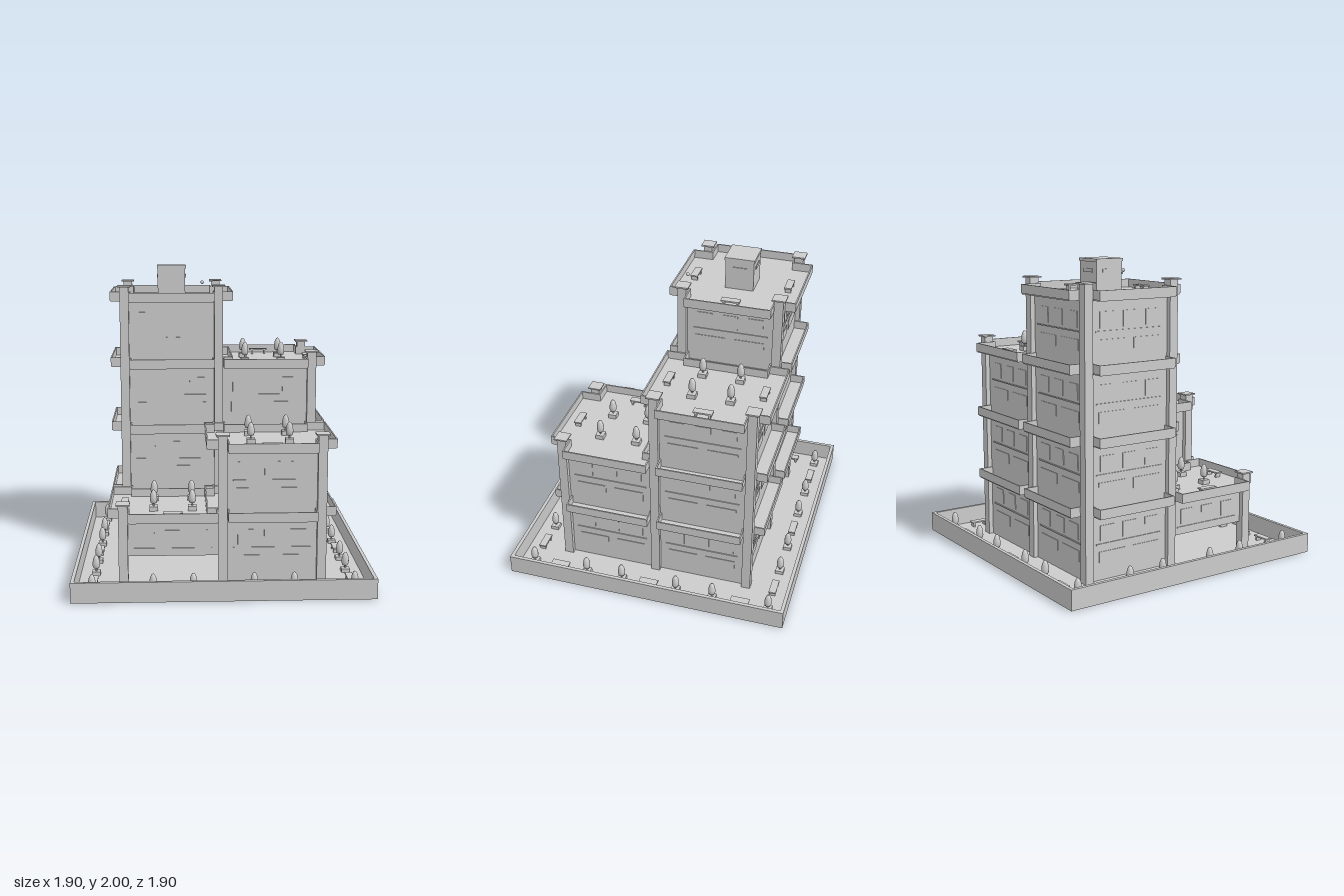
import * as THREE from 'three';

const GREY = new THREE.MeshStandardMaterial({ color: 0xcccccc, flatShading: true });
const SMOOTH = new THREE.MeshStandardMaterial({ color: 0xcccccc });
const CELL = 0.317;      // offset of each block centre
const STOREY = 0.445;    // floor to floor height

function add(parent, name, geometry, x, y, z, material = GREY) {
  const mesh = new THREE.Mesh(geometry, material);
  mesh.name = name;
  mesh.position.set(x, y, z);
  parent.add(mesh);
  return mesh;
}

// box standing on height y
function box(parent, name, w, h, d, x, y, z) {
  return add(parent, name, new THREE.BoxGeometry(w, h, d), x, y + h / 2, z);
}

function group(parent, name, x = 0, y = 0, z = 0) {
  const g = new THREE.Group();
  g.name = name;
  g.position.set(x, y, z);
  parent.add(g);
  return g;
}

// plus-shaped outline: a = half width of an arm, b = half length
function plus(a, b) {
  return [[a, b], [-a, b], [-a, a], [-b, a], [-b, -a], [-a, -a],
    [-a, -b], [a, -b], [a, -a], [b, -a], [b, a], [a, a]].map(p => new THREE.Vector2(...p));
}

function extrudeUp(points, hole, height) {
  const shape = new THREE.Shape(points);
  if (hole) shape.holes.push(new THREE.Path(hole));
  return new THREE.ExtrudeGeometry(shape, { depth: height, bevelEnabled: false }).rotateX(-Math.PI / 2);
}

const parapetGeo = extrudeUp(plus(0.285, 0.417), plus(0.276, 0.408), 0.065);
const deckGeo = extrudeUp(plus(0.28, 0.412), null, 0.01);
const foliageGeo = new THREE.LatheGeometry(
  [[0, 0], [0.018, 0.003], [0.024, 0.018], [0.024, 0.04], [0.019, 0.068], [0.01, 0.086], [0, 0.092]]
    .map(p => new THREE.Vector2(...p)), 12);

function tree(parent, x, y, z) {
  const t = group(parent, 'tree', x, y, z);
  box(t, 'planter', 0.055, 0.03, 0.055, 0, 0, 0);
  add(t, 'trunk', new THREE.CylinderGeometry(0.006, 0.006, 0.03, 8), 0, 0.04, 0);
  add(t, 'foliage', foliageGeo, 0, 0.047, 0, SMOOTH);
}

function bench(parent, x, y, z, turned) {
  const b = group(parent, 'bench', x, y, z);
  box(b, 'benchSeat', 0.125, 0.01, 0.048, 0, 0.028, 0);
  for (const s of [-1, 1]) box(b, 'benchLeg', 0.012, 0.028, 0.04, s * 0.045, 0, 0);
  if (turned) b.rotation.y = Math.PI / 2;
}

// one block of stacked storeys; bottom > 0 leaves it raised on columns
function block(parent, name, sx, sz, storeys, bottom) {
  const g = group(parent, name, sx * CELL, 0, sz * CELL);
  for (let k = 0; k < storeys; k++) {
    const top = (k + 1) * STOREY - 0.01;
    const low = k === 0 ? bottom : k * STOREY;
    box(g, 'storeyWalls', 0.634, top - low, 0.634, 0, low, 0);
    add(g, 'deck', deckGeo, 0, top, 0);
    add(g, 'parapet', parapetGeo, 0, top + 0.01 - 0.003, 0).scale.y = 0.058 / 0.065;
    for (let side = 0; side < 4; side++) {
      const face = group(g, 'facade');
      face.rotation.y = side * Math.PI / 2;
      for (const i of [-1, 0, 1]) {
        box(face, 'window', 0.1, 0.1, 0.008, i * 0.17, top - 0.17, 0.317);
      }
      if (low < top - 0.3) {
        for (const i of [-1, 1]) box(face, 'wallPanel', 0.2, 0.07, 0.008, i * 0.13, top - 0.31, 0.317);
      }
      box(face, 'windowSill', 0.5, 0.008, 0.012, 0, top - 0.195, 0.317);
    }
  }
  return storeys * STOREY; // roof height
}

export function createModel() {
  const model = new THREE.Group();
  model.name = 'terracedTowers';

  // walled ground plate
  const base = group(model, 'base');
  const square = r => [[r, r], [-r, r], [-r, -r], [r, -r]].map(p => new THREE.Vector2(...p));
  box(base, 'groundFloor', 1.88, 0.01, 1.88, 0, 0, 0);
  add(base, 'boundaryWall', extrudeUp(square(0.95), square(0.927), 0.13), 0, 0, 0);

  // four blocks stepping down around the centre
  const blocks = [
    ['tallBlock', -1, -1, 4, 0], ['upperBlock', 1, -1, 3, 0],
    ['middleBlock', 1, 1, 2, 0], ['raisedLowBlock', -1, 1, 1, 0.195],
  ];
  const roof = {};
  for (const [name, sx, sz, n, bottom] of blocks) {
    const y = roof[`${sx},${sz}`] = block(model, name, sx, sz, n, bottom);
    if (n < 4) {
      for (const i of [-1, 1]) for (const j of [-1, 1]) {
        tree(model, sx * CELL + i * 0.126, y, sz * CELL + j * 0.126);
      }
    }
    // roof benches along the edges that stay open
    const edges = [[0, -1], [0, 1], [-1, 0], [1, 0]];
    for (const [ex, ez] of edges) {
      const neighbour = ex ? (ex === -sx ? [-sx, sz] : null) : (ez === -sz ? [sx, -sz] : null);
      if (neighbour) {
        const m = blocks.find(b => b[1] === neighbour[0] && b[2] === neighbour[1]);
        if (m[3] > n) continue;
      }
      if (ex === sx && (n === 4 || n === 2)) continue;
      bench(model, (sx + ex) * CELL, y, (sz + ez) * CELL, ex !== 0);
    }
  }

  // columns on a 3 x 3 grid, each rising past its tallest neighbour
  for (const i of [-1, 0, 1]) for (const j of [-1, 0, 1]) {
    let h = 0;
    for (const [, sx, sz, n] of blocks) {
      if (i * sx >= 0 && j * sz >= 0) h = Math.max(h, n * STOREY);
    }
    h += 0.09;
    box(model, 'column', 0.06, h, 0.06, i * 0.635, 0, j * 0.635);
    box(model, 'columnCap', 0.088, 0.01, 0.088, i * 0.635, h, j * 0.635);
  }

  // rooftop housing with vents on its sides
  const top = roof['-1,-1'];
  const hut = group(model, 'rooftopHousing', -CELL, 0, -CELL);
  box(hut, 'housingBody', 0.19, 2 - top - 0.02, 0.19, 0, top, 0);
  box(hut, 'housingRoof', 0.2, 0.02, 0.2, 0, 1.98, 0);
  for (let s = 0; s < 4; s++) {
    const side = group(hut, 'housingSide');
    side.rotation.y = s * Math.PI / 2;
    box(side, 'vent', 0.1, 0.022, 0.01, 0, 1.915, 0.095);
  }
  add(model, 'lampBall', new THREE.SphereGeometry(0.012, 12, 8), -0.11, 1.9, 0, SMOOTH);

  // trees and benches around the ground plate
  for (let s = 0; s < 4; s++) {
    const edge = group(model, 'gardenEdge');
    edge.rotation.y = s * Math.PI / 2;
    for (const x of [-0.825, -0.443, -0.191, 0.191, 0.443]) tree(edge, x, 0.005, 0.825);
    for (const x of [-0.635, 0, 0.635]) bench(edge, x, 0.01, 0.825, false);
  }
  return model;
}
